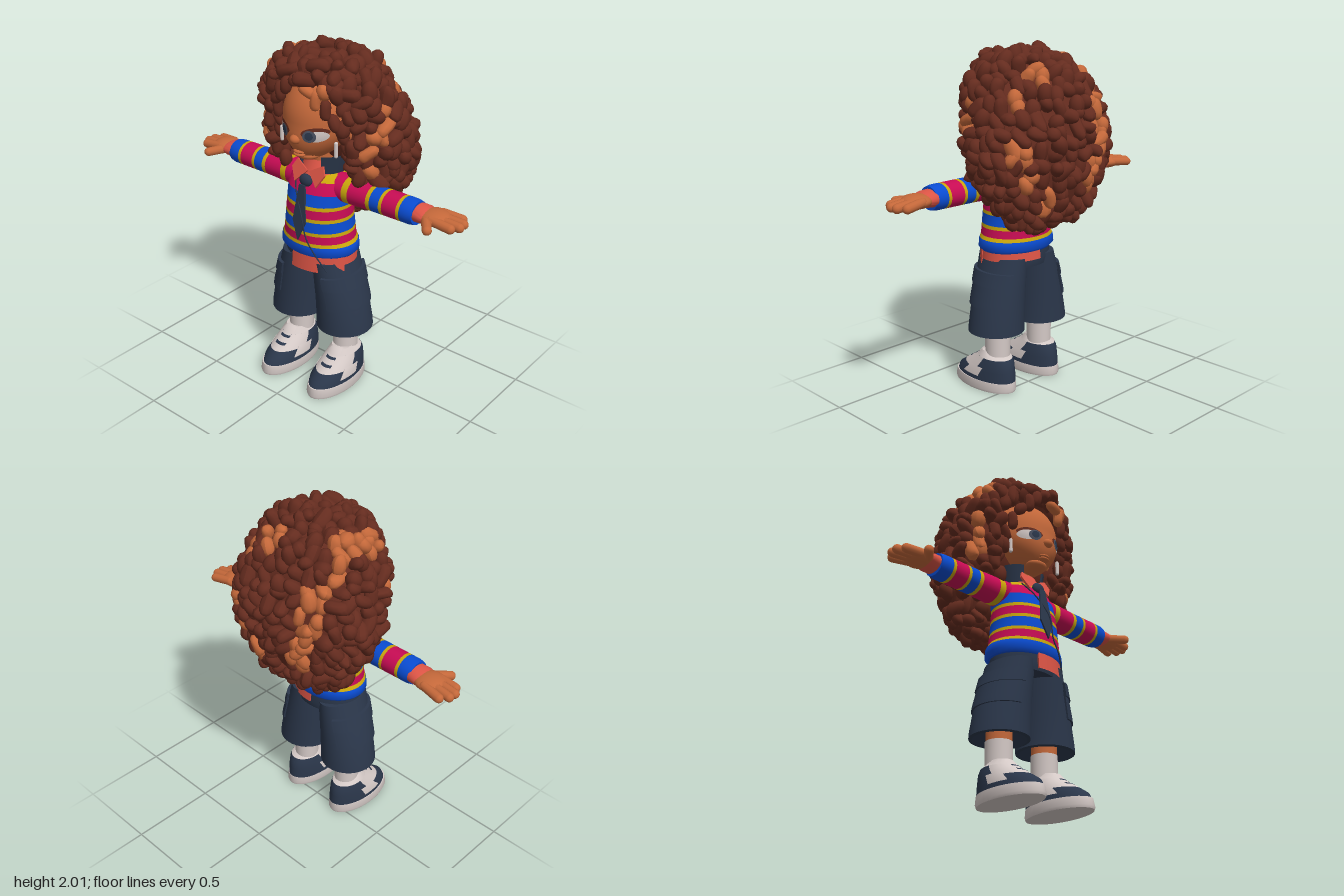
import * as THREE from 'three';
import { mergeGeometries, toCreasedNormals } from 'three/addons/utils/BufferGeometryUtils.js';

const V = (x, y, z) => new THREE.Vector3(x, y, z);
const deg = Math.PI / 180;
const mat = (name, color, side = THREE.FrontSide) => new THREE.MeshStandardMaterial({ name, color, side });

// Seeded random number in -1..1
let seed = 7;
const rnd = () => ((seed = (seed * 16807) % 2147483647) / 2147483647) * 2 - 1;

// Surface through elliptical rings [y, centreX, centreZ, radiusX, radiusZ]; angle 0 faces +z
function loft(rings, { a0 = 0, a1 = 360, n = 36, crease = 0.9 } = {}) {
  const full = a1 - a0 >= 360, cols = [], pos = [], idx = [];
  for (let j = 0; j < (full ? n : n + 1); j++) cols.push([(a0 + (a1 - a0) * j / n) * deg, 1]);
  if (!full) { // turn the side edges inwards
    cols.unshift([a0 * deg, 0.92]);
    cols.push([a1 * deg, 0.92]);
  }
  const m = cols.length;
  for (const [y, cx, cz, rx, rz] of rings)
    for (const [a, k] of cols) pos.push(cx + rx * k * Math.sin(a), y, cz + rz * k * Math.cos(a));
  for (let i = 0; i < rings.length - 1; i++)
    for (let j = 0; j < (full ? m : m - 1); j++) {
      const a = i * m + j, b = i * m + (j + 1) % m;
      idx.push(a, b, b + m, a, b + m, a + m);
    }
  const g = new THREE.BufferGeometry();
  g.setAttribute('position', new THREE.Float32BufferAttribute(pos, 3));
  g.setIndex(idx);
  g.computeVertexNormals();
  return crease ? toCreasedNormals(g, crease) : g;
}

// Ring of a profile at height y, and the part of a profile between two heights
function ringAt(p, y) {
  let i = 0;
  while (i < p.length - 2 && p[i + 1][0] < y) i++;
  const t = THREE.MathUtils.clamp((y - p[i][0]) / (p[i + 1][0] - p[i][0]), 0, 1);
  return [y, ...[1, 2, 3, 4].map(k => p[i][k] + (p[i + 1][k] - p[i][k]) * t)];
}
const between = (p, y0, y1) => [ringAt(p, y0), ...p.filter(r => r[0] > y0 && r[0] < y1), ringAt(p, y1)];
const grow = (rings, d) => rings.map(([y, x, z, rx, rz]) => [y, x, z, rx + d, rz + d]);
const point = ([y, x, z]) => [y, x, z, 0.0005, 0.0005];
const capped = rings => [point(rings[0]), ...rings, point(rings[rings.length - 1])];

export function createModel() {
  const root = new THREE.Group();
  const skin = mat('skin', 0xc4683a), hairM = mat('hair brown', 0x652c1f), navy = mat('navy', 0x2b374b, THREE.DoubleSide),
    blue = mat('blue', 0x0a4cd2), pink = mat('pink', 0xc80c54), yellow = mat('yellow', 0xc9a50c),
    coral = mat('coral', 0xdb5445, THREE.DoubleSide), white = mat('off white', 0xd4c9c6), iris = mat('iris grey', 0x4a5060);
  const add = (name, geo, m, parent = root) => {
    const mesh = new THREE.Mesh(geo, m);
    mesh.name = name;
    parent.add(mesh);
    return mesh;
  };
  const ball = (name, m, p, s, parent) => {
    const b = add(name, new THREE.SphereGeometry(1, 20, 14), m, parent);
    b.position.set(...p);
    b.scale.set(...s);
  };
  const rod = (name, m, a, b, r, parent) => {
    const d = b.clone().sub(a), c = add(name, new THREE.CapsuleGeometry(r, d.length(), 6, 12), m, parent);
    c.position.copy(a).addScaledVector(d, 0.5);
    c.quaternion.setFromUnitVectors(V(0, 1, 0), d.normalize());
  };

  // Head, narrowed and pushed forward towards the chin
  const low = y => THREE.MathUtils.clamp((1.6 - y) / 0.2, 0, 1);
  const jaw = y => 1 - 0.25 * low(y) ** 2, push = y => 0.06 * low(y);
  const headGeo = new THREE.SphereGeometry(1, 40, 28), hp = headGeo.attributes.position;
  for (let i = 0; i < hp.count; i++) {
    const y = 1.62 + 0.235 * hp.getY(i);
    hp.setXYZ(i, 0.205 * hp.getX(i) * jaw(y), y, 0.075 + push(y) + 0.225 * hp.getZ(i));
  }
  headGeo.computeVertexNormals();
  add('head', headGeo, skin);
  const faceZ = (x, y) => 0.075 + push(y) + 0.225 * Math.sqrt(Math.max(0, 1 - (x / (0.205 * jaw(y))) ** 2 - ((y - 1.62) / 0.235) ** 2));

  // Thin painted ellipse that follows the face
  function facePatch(name, m, cx, cy, rx, ry, tilt, lift) {
    const g = new THREE.RingGeometry(0.001, 1, 28, 4).scale(rx, ry, 1).rotateZ(tilt).translate(cx, cy, 0), p = g.attributes.position;
    for (let i = 0; i < p.count; i++) p.setZ(i, faceZ(p.getX(i), p.getY(i)) + lift);
    g.computeVertexNormals();
    add(name, g, m);
  }
  for (const s of [1, -1]) {
    facePatch('eyelid', hairM, s * 0.102, 1.578, 0.064, 0.028, s * 0.18, 0.002);
    facePatch('eyeWhite', white, s * 0.117, 1.56, 0.047, 0.03, s * 0.2, 0.004);
    facePatch('iris', iris, s * 0.084, 1.56, 0.033, 0.033, 0, 0.006);
    facePatch('pupil', navy, s * 0.084, 1.562, 0.02, 0.022, 0, 0.008);
    ball('ear', skin, [s * 0.2, 1.55, 0.08], [0.025, 0.05, 0.035]);
    rod('earring', white, V(s * 0.19, 1.45, 0.195), V(s * 0.19, 1.52, 0.195), 0.011);
  }
  ball('nose', skin, [0, 1.53, 0.297], [0.032, 0.026, 0.033]);
  for (const y of [1.437, 1.454]) ball('lip', skin, [0, y, 0.268], [0.036, 0.012, 0.028]);
  ball('chin', skin, [0, 1.42, 0.2], [0.07, 0.03, 0.062]);
  add('neck', loft([[1.2, 0, 0.07, 0.07, 0.07], [1.46, 0, 0.08, 0.07, 0.07]]), skin);

  // Hair: rounded underlayer covered in bent curls
  const hair = new THREE.Group();
  hair.name = 'hair';
  root.add(hair);
  const hairProfile = [ // y, half width, front, back
    [1.04, 0.08, -0.1, 0.18], [1.06, 0.23, -0.06, 0.23], [1.12, 0.32, -0.02, 0.265], [1.20, 0.355, 0.03, 0.305],
    [1.30, 0.405, 0.17, 0.335], [1.40, 0.435, 0.2, 0.355], [1.52, 0.435, 0.23, 0.36], [1.66, 0.4, 0.265, 0.325],
    [1.78, 0.345, 0.29, 0.265], [1.86, 0.28, 0.265, 0.195], [1.92, 0.19, 0.19, 0.11], [1.945, 0.06, 0.09, 0.03],
  ].map(([y, w, f, b]) => [y, 0, (f - b) / 2, w, (f + b) / 2]);
  const under = loft(capped(hairProfile.map(([y, x, z, rx, rz]) => [y, x, z, rx * 0.95, rz * 0.95])), { crease: 0 });
  const up = under.attributes.position;
  for (let i = 0; i < up.count; i++) // keep the face free
    if (up.getY(i) < 1.8) up.setZ(i, Math.min(up.getZ(i), up.getY(i) < 1.35 ? -0.01 : 0.1));
  under.computeVertexNormals();
  add('hairUnderlayer', under, hairM, hair);

  const spots = [ // lighter locks: x, y, z, reach
    [-0.26, 1.83, 0.1, 0.07], [-0.35, 1.64, 0.09, 0.05], [-0.34, 1.55, 0.11, 0.05], [-0.36, 1.45, 0.09, 0.05],
    [0.34, 1.48, 0.11, 0.05], [0.36, 1.38, 0.1, 0.06], [0.12, 1.78, 0.28, 0.06],
    [-0.24, 1.87, -0.04, 0.07], [-0.27, 1.78, -0.13, 0.07], [-0.26, 1.68, -0.24, 0.075], [-0.24, 1.57, -0.29, 0.075],
    [-0.21, 1.46, -0.31, 0.075], [-0.19, 1.36, -0.31, 0.075], [-0.16, 1.25, -0.3, 0.07],
    [0.13, 1.83, -0.21, 0.075], [0.42, 1.58, 0.07, 0.07], [0.39, 1.67, 0.03, 0.05], [0.27, 1.69, -0.21, 0.06],
    [0.3, 1.46, -0.25, 0.07], [0.26, 1.33, -0.27, 0.06], [0.16, 1.18, -0.27, 0.06],
  ];
  const curls = [], lightCurls = [];
  function curl(p, r, h, rot) {
    const g = new THREE.SphereGeometry(1, 10, 8), q = g.attributes.position, bend = 0.6 * rnd();
    for (let i = 0; i < q.count; i++) q.setX(i, q.getX(i) + bend * Math.sin(q.getY(i) * 2.2));
    g.scale(r, h, r).applyMatrix4(new THREE.Matrix4().makeRotationFromEuler(rot)).translate(p.x, p.y, p.z);
    g.computeVertexNormals();
    const light = spots.some(([x, y, z, d]) => p.distanceTo(V(x, y, z)) < d);
    (light ? lightCurls : curls).push(g);
  }
  for (let k = 0; k + 1 < hairProfile.length; k++) {
    const A = hairProfile[k], B = hairProfile[k + 1];
    const rows = Math.max(1, Math.round(Math.hypot(B[0] - A[0], B[3] - A[3]) / 0.06));
    for (let i = 0; i < rows; i++) {
      const y0 = A[0] + (B[0] - A[0]) * (i + 0.5) / rows, [, , cz, w, d] = ringAt(hairProfile, y0);
      const n = Math.max(4, Math.round(Math.PI * (w + d) / 0.077)), start = rnd();
      for (let j = 0; j < n; j++) {
        const a = start + (j + 0.25 * rnd()) / n * Math.PI * 2, o = 0.018 * rnd();
        const p = V((w + o) * Math.sin(a), y0 + 0.018 * rnd(), cz + (d + o) * Math.cos(a));
        const inFace = p.z > 0.03 && Math.abs(p.x) < 0.215 && p.y < 1.85 - 2.5 * p.x * p.x;
        if (inFace || (p.y < 1.3 && p.z > 0.05 && Math.abs(p.x) < 0.3)) continue;
        const t = p.y > 1.85 ? 1.4 : 0.7;
        curl(p, 0.043 + 0.006 * rnd(), 0.056 + 0.01 * rnd(), new THREE.Euler(t * rnd(), 2 * rnd(), t * rnd()));
      }
    }
  }
  // Loose curls framing the forehead, cheeks and neck
  const frame = [[0.07, 1.81, 0.285], [0.12, 1.765, 0.275], [0.165, 1.715, 0.25], [0.195, 1.64, 0.215], [0.225, 1.57, 0.18],
    [0.235, 1.5, 0.16], [0.225, 1.43, 0.13], [0.245, 1.36, 0.11], [0.285, 1.31, 0.1], [0.21, 1.4, 0.08]];
  for (const s of [1, -1])
    for (const [x, y, z] of frame) curl(V(s * x, y, z), 0.034, 0.052, new THREE.Euler(0, 0, s * (y > 1.6 ? 0.6 : 0.15)));
  add('curls', mergeGeometries(curls), hairM, hair);
  add('lightCurls', mergeGeometries(lightCurls), skin, hair);

  // Striped sweater body
  const torso = [[0.83, 0, 0.1, 0.222, 0.172], [0.85, 0, 0.1, 0.24, 0.19], [0.89, 0, 0.1, 0.236, 0.187], [0.92, 0, 0.102, 0.218, 0.182],
    [1.02, 0, 0.103, 0.204, 0.178], [1.12, 0, 0.1, 0.197, 0.17], [1.2, 0, 0.09, 0.2, 0.158], [1.26, 0, 0.08, 0.19, 0.138],
    [1.295, 0, 0.075, 0.15, 0.12], [1.31, 0, 0.07, 0.1, 0.1]];
  const stripes = [[0.83, blue], [0.9, yellow], [0.92, pink], [0.965, yellow], [0.985, blue], [1.045, yellow], [1.065, pink],
    [1.115, yellow], [1.135, blue], [1.2, pink], [1.265, yellow], [1.31]];
  for (let i = 0; i + 1 < stripes.length; i++)
    add('sweaterStripe', loft(between(torso, stripes[i][0], stripes[i + 1][0])), stripes[i][1]);
  add('sweaterUnderside', loft([point(torso[0]), torso[0]]), blue);

  // Shirt hem, tail and collar, jacket collar
  add('shirtHem', loft([[0.785, 0, 0.1, 0.226, 0.182], [0.85, 0, 0.1, 0.222, 0.174]], { a0: -15, a1: 185 }), coral);
  add('shirtTail', loft([[0.745, 0, 0.1, 0.234, 0.186], [0.85, 0, 0.1, 0.226, 0.178]], { a0: -15, a1: 72 }), coral);
  add('shirtCollar', loft([[1.29, 0, 0.08, 0.125, 0.125], [1.37, 0, 0.07, 0.09, 0.095]]), coral);
  add('upperCollar', loft([[1.3, 0, 0.06, 0.13, 0.13], [1.41, 0, 0.06, 0.155, 0.145]], { a0: 30, a1: 330 }), navy);
  const plate = (pts, depth) => new THREE.ExtrudeGeometry(new THREE.Shape(pts.map(p => new THREE.Vector2(...p))), { depth, bevelEnabled: false });
  for (const s of [1, -1]) {
    const leaf = add('collarLeaf', plate([[0.005 * s, 0.01], [0.075 * s, -0.065], [0.115 * s, 0.01], [0.09 * s, 0.06]], 0.012), coral);
    leaf.position.set(0, 1.3, 0.195);
    leaf.rotation.x = -0.4;
  }

  // Tie and hanging cord
  const tie = add('tie', plate([[-0.02, 0.25], [-0.045, 0.04], [0, -0.07], [0.045, 0.04], [0.02, 0.25]], 0.01), navy);
  tie.position.set(0, 1.0, 0.28);
  tie.rotation.x = -0.14;
  ball('tieKnot', navy, [0, 1.265, 0.22], [0.042, 0.037, 0.025]);
  const cord = [V(-0.1, 1.28, 0.19), V(-0.05, 1.2, 0.245), V(0.02, 1.08, 0.285), V(0.05, 0.95, 0.284), V(0.1, 0.87, 0.277), V(0.165, 0.755, 0.24)];
  add('cord', new THREE.TubeGeometry(new THREE.CatmullRomCurve3(cord), 40, 0.004, 6), navy);

  add('shortsWaist', loft(capped([[0.74, 0, 0.098, 0.208, 0.162], [0.78, 0, 0.098, 0.212, 0.172], [0.85, 0, 0.1, 0.205, 0.168]])), navy);

  for (const s of [1, -1]) {
    const side = new THREE.Group();
    side.name = s > 0 ? 'leftLimbs' : 'rightLimbs';
    root.add(side);

    // Sleeve, lofted upright and laid along x
    const sleeve = [[0.1, 0.08], [0.22, 0.077], [0.35, 0.072], [0.62, 0.07], [0.65, 0.064]].map(([x, r]) => [x, -s * 1.223, 0.085, r, r * 1.1]);
    const bands = [[0.1, pink], [0.2, yellow], [0.24, pink], [0.36, yellow], [0.385, blue], [0.445, yellow], [0.465, pink], [0.555, yellow], [0.575, blue], [0.65]];
    for (let i = 0; i + 1 < bands.length; i++) {
      const rings = between(sleeve, bands[i][0], bands[i + 1][0]);
      if (i === bands.length - 2) rings.push(point(rings[rings.length - 1]));
      add('sleeveStripe', loft(rings).rotateZ(-s * Math.PI / 2), bands[i][1], side);
    }

    // Hand
    const wrist = [[0.64, 0.05, 0.068], [0.69, 0.045, 0.074], [0.715, 0.034, 0.07]].map(([x, ry, rz]) => [x, -s * 1.226, 0.078, ry, rz]);
    add('wrist', loft(wrist).rotateZ(-s * Math.PI / 2), coral, side);
    ball('palm', skin, [s * 0.745, 1.226, 0.073], [0.09, 0.04, 0.084], side);
    for (const [z0, x, z] of [[0.015, 0.86, -0.003], [0.053, 0.893, 0.04], [0.09, 0.896, 0.083], [0.125, 0.868, 0.125]])
      rod('finger', skin, V(s * 0.75, 1.23, z0), V(s * x, 1.218, z), 0.026, side);
    rod('thumb', skin, V(s * 0.71, 1.225, 0.11), V(s * 0.78, 1.212, 0.2), 0.026, side);

    // Shorts leg with a hollow hem
    const leg = [[0.36, 0.172, 0.09, 0.163, 0.165], [0.4, 0.17, 0.09, 0.16, 0.165], [0.55, 0.152, 0.092, 0.146, 0.163],
      [0.7, 0.125, 0.095, 0.123, 0.165], [0.8, 0.108, 0.097, 0.106, 0.165]].map(([y, x, ...r]) => [y, s * x, ...r]);
    add('shortsLeg', loft([[0.44, s * 0.17, 0.085, 0.06, 0.06], [0.355, s * 0.172, 0.09, 0.145, 0.147], ...leg, point(leg[4])]), navy, side);
    const arc = s > 0 ? { a0: 8, a1: 155 } : { a0: -155, a1: -8 };
    const wrap = (y0, y1, d) => { // shallow panel closed above and below
      const r = grow(between(leg, y0, y1), d);
      return [grow([r[0]], -d - 0.01)[0], ...r, grow([r[r.length - 1]], -d - 0.01)[0]];
    };
    add('cargoPocket', loft(wrap(0.52, 0.68, 0.01), arc), navy, side);
    add('pocketFlap', loft(wrap(0.645, 0.72, 0.017), arc), navy, side);

    // Lower leg and sock
    add('shin', loft([[0.3, s * 0.17, 0.083, 0.07, 0.072], [0.46, s * 0.17, 0.083, 0.07, 0.072]]), skin, side);
    add('sock', loft(capped([[0.15, s * 0.17, 0.083, 0.07, 0.075], [0.345, s * 0.17, 0.083, 0.073, 0.076]])), white, side);

    // Shoe: sole, then an upper that slopes to the toe and dips behind the ankle
    add('sole', loft(capped([[0, s * 0.18, 0.178, 0.112, 0.225], [0.015, s * 0.18, 0.178, 0.118, 0.23], [0.06, s * 0.18, 0.175, 0.114, 0.222]])), white, side);
    const upper = [[0.05, 0.112, 0.395, -0.046], [0.09, 0.11, 0.375, -0.045], [0.13, 0.102, 0.315, -0.04], [0.17, 0.092, 0.25, -0.034],
      [0.195, 0.084, 0.215, -0.02], [0.23, 0.06, 0.18, 0.06]].map(([y, w, f, b]) => [y, s * 0.178, (f + b) / 2, w, (f - b) / 2]);
    add('shoeUpper', loft(between(upper, 0.05, 0.125)), navy, side);
    add('shoeHeel', loft(between(upper, 0.125, 0.195), { a0: 85, a1: 275 }), navy, side);
    add('shoeTongue', loft(between(upper, 0.125, 0.195), { a0: -85, a1: 85 }), white, side);
    const top = between(upper, 0.195, 0.23);
    add('shoeOpening', loft([...top, point(top[top.length - 1])]), white, side);
    for (const a of [82, -82])
      add('shoePanel', loft(grow(between(upper, 0.085, 0.14), 0.003), { a0: a - 18, a1: a + 18 }), white, side);
    // Lace bars across the tongue
    for (const y of [0.15, 0.18])
      add('lace', loft(grow(between(upper, y, y + 0.01), 0.002), { a0: -22, a1: 22 }), navy, side);
  }
  return root;
}
